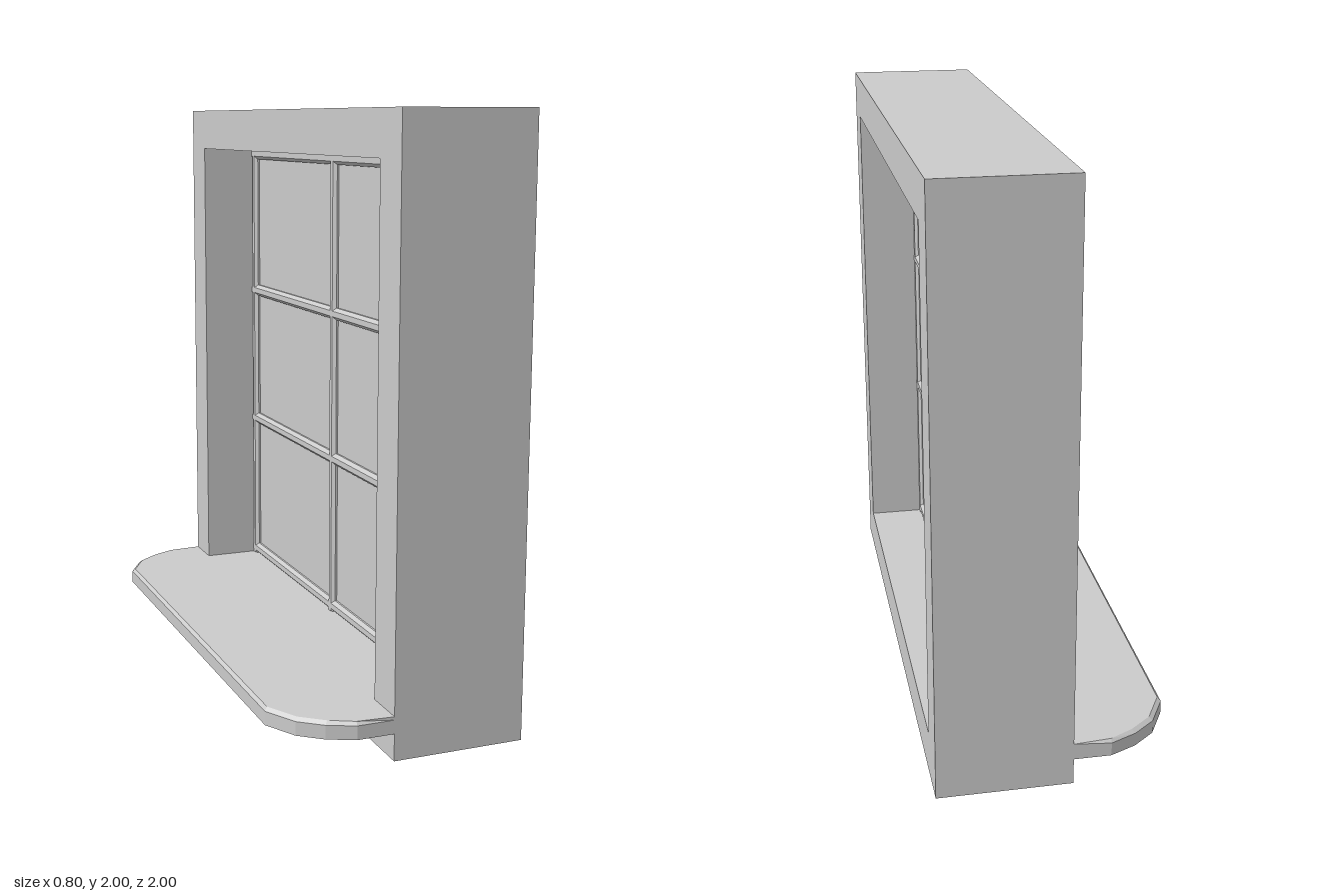
import * as THREE from 'three';

export function createModel() {
  const group = new THREE.Group();
  const material = new THREE.MeshStandardMaterial({ color: 0xcccccc, flatShading: true });
  const add = (name, geometry, x = 0, y = 0, z = 0) => {
    const mesh = new THREE.Mesh(geometry, material);
    mesh.name = name;
    mesh.position.set(x, y, z);
    group.add(mesh);
    return mesh;
  };
  const rect = (Type, x0, y0, x1, y1) => {
    const p = new Type();
    p.moveTo(x0, y0).lineTo(x1, y0).lineTo(x1, y1).lineTo(x0, y1).closePath();
    return p;
  };

  // Deep surround with a rectangular opening
  const surround = rect(THREE.Shape, -1, 0, 1, 2);
  surround.holes.push(rect(THREE.Path, -0.85, 0.147, 0.85, 1.85));
  const surroundGeo = new THREE.ExtrudeGeometry(surround, { depth: 0.45, bevelEnabled: false });
  surroundGeo.rotateY(Math.PI / 2);
  add('surround', surroundGeo, -0.05);

  // Sill with faceted corners; the top edge is chamfered around them only
  const corner = [[-0.05, 1], [-0.175, 1], [-0.265, 0.96], [-0.34, 0.9], [-0.4, 0.79]];
  const outline = [...corner, ...corner.map(([x, z]) => [x, -z]).reverse()];
  const sillShape = new THREE.Shape(outline.map(([x, z]) => new THREE.Vector2(x, z)));
  const sillGeo = new THREE.ExtrudeGeometry(sillShape, { depth: 0.057, steps: 2, bevelEnabled: false });
  sillGeo.rotateX(-Math.PI / 2);
  const pos = sillGeo.attributes.position;
  for (let i = 0; i < pos.count; i++) {
    const x = pos.getX(i), y = pos.getY(i), z = pos.getZ(i);
    if (y > 0.02 && y < 0.04) pos.setY(i, 0.046);
    if (y > 0.05 && x < -0.1) {
      pos.setX(i, x + (x < -0.2 ? 0.01 : 0));
      pos.setZ(i, z - Math.sign(z) * 0.01);
    }
  }
  sillGeo.computeVertexNormals();
  add('sill', sillGeo, 0, 0.09);

  // Glass sheet
  const glassX = 0.175;
  add('glass', new THREE.BoxGeometry(0.012, 1.7, 1.7), glassX, 1, 0);

  // Chamfered glazing bar, extruded along z and centred
  const barGeometry = (length) => {
    const w = 0.022, d = 0.025, c = 0.012;
    const pts = [[d, w - c], [d - c, w], [c - d, w], [-d, w - c],
      [-d, c - w], [c - d, -w], [d - c, -w], [d, c - w]];
    const shape = new THREE.Shape(pts.map(([x, y]) => new THREE.Vector2(x, y)));
    return new THREE.ExtrudeGeometry(shape, { depth: length, bevelEnabled: false })
      .translate(0, 0, -length / 2);
  };
  for (const y of [0.171, 0.735, 1.273, 1.829]) {
    add('horizontalGlazingBar', barGeometry(1.7), glassX, y, 0);
  }
  for (const z of [-0.829, 0, 0.829]) {
    add('verticalGlazingBar', barGeometry(1.7).rotateX(Math.PI / 2), glassX, 1, z);
  }

  return group;
}
